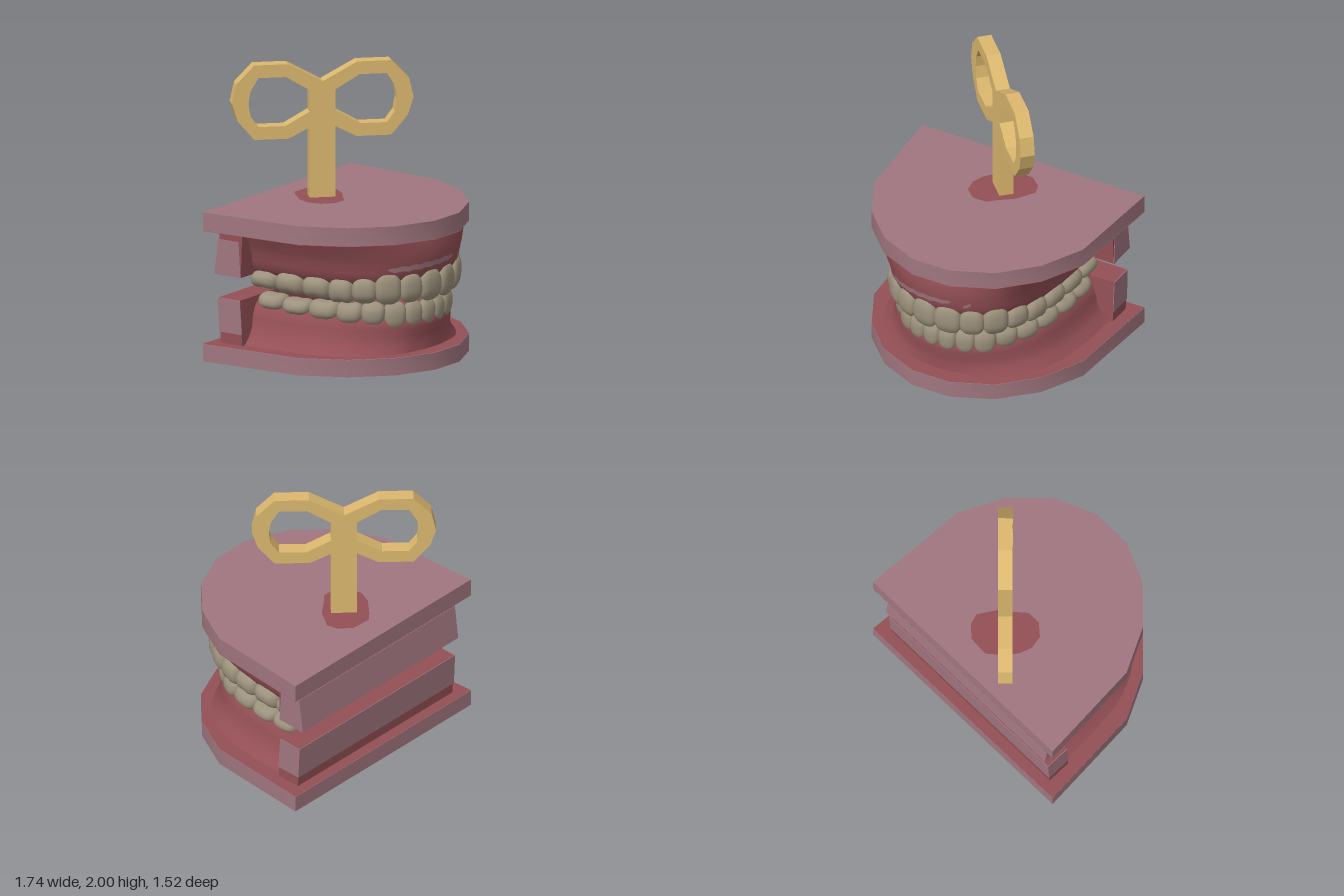
import * as THREE from 'three';
import { mergeVertices, toCreasedNormals } from 'three/addons/utils/BufferGeometryUtils.js';

const mat = (name, color, side = THREE.FrontSide) => {
  const m = new THREE.MeshStandardMaterial({ color, side });
  m.name = name;
  return m;
};

const toShape = (pts) => new THREE.Shape(pts.map(([x, y]) => new THREE.Vector2(x, y)));

// Mirrors half an outline (listed from the +x end) across x = 0
const mirrored = (half) => [...half, ...half.slice().reverse().filter(([x]) => x !== 0).map(([x, y]) => [-x, y])];

// Smooth curve around a dental arch, running from the left end over the front to the right end
const archCurve = (half) => new THREE.CatmullRomCurve3(
  mirrored(half).map(([x, z]) => new THREE.Vector3(x, 0, z)), false, 'centripetal');

function archFrame(curve, u) {
  const p = curve.getPointAt(u), t = curve.getTangentAt(u);
  return { p, n: new THREE.Vector3(t.z, 0, -t.x).normalize() };
}

// Sweeps a cross-section of [outward offset, extra flare at the sides, height] along an arch
function loft(curve, section, u0 = 0, u1 = 1, steps = 72) {
  const pos = [], index = [];
  let m = 0;
  for (let i = 0; i <= steps; i++) {
    const u = u0 + (u1 - u0) * i / steps;
    const { p, n } = archFrame(curve, u);
    const rows = section(u);
    m = rows.length;
    for (const [off, flare, y] of rows) {
      const d = off + flare * n.x * n.x;
      pos.push(p.x + n.x * d, y, p.z + n.z * d);
    }
  }
  for (let i = 0; i < steps; i++) {
    for (let j = 0; j < m - 1; j++) {
      const a = i * m + j, b = a + m;
      index.push(a, a + 1, b, b, a + 1, b + 1);
    }
  }
  const g = new THREE.BufferGeometry();
  g.setAttribute('position', new THREE.Float32BufferAttribute(pos, 3));
  g.setIndex(index);
  g.computeVertexNormals();
  return g;
}

// A tooth with its root up: squared sphere, narrowed to the root, thinned or cusped at the bite
function toothGeometry(w, h, d, molar) {
  let g = new THREE.SphereGeometry(1, 20, 14);
  g.deleteAttribute('uv');
  g.deleteAttribute('normal');
  g = mergeVertices(g, 1e-4);
  const p = g.attributes.position;
  const sq = (v, e) => Math.sign(v) * Math.abs(v) ** e;
  for (let i = 0; i < p.count; i++) {
    let x = sq(p.getX(i), 0.72), y = sq(p.getY(i), 0.8), z = sq(p.getZ(i), 0.8);
    const root = Math.max(0, y), bite = Math.max(0, -y);
    x *= 1 - 0.22 * root * root;
    z *= molar ? 1 - 0.15 * bite : 1 - 0.5 * bite * bite;
    if (!molar) z += 0.15 * bite;
    if (molar) y += bite * 0.3 * (0.5 - Math.abs(x)) - root * 0.15 * (0.6 - Math.abs(x));
    p.setXYZ(i, x * w / 2, y * h / 2, z * d / 2);
  }
  g.computeVertexNormals();
  return g;
}

export function createModel() {
  const model = new THREE.Group();
  const mauve = mat('mauve base', 0xa0767f);
  const red = mat('gum red', 0x934f55, THREE.DoubleSide);
  const ivory = mat('tooth ivory', 0x9c917c);
  const gold = mat('key gold', 0xdcb86e);
  const sheen = mat('pale gum patch', 0xa0757c, THREE.DoubleSide);

  const add = (name, geo, material, parent = model) => {
    const m = new THREE.Mesh(geo, material);
    m.name = name;
    parent.add(m);
    return m;
  };

  // Flat base plates with a red inner face; shape y is -z
  const outline = toShape(mirrored([
    [0.87, 0.675], [0.82, -0.09], [0.665, -0.4], [0.435, -0.63], [0.145, -0.757]]).reverse());
  const plate = (name, y0, y1, innerY) => {
    const g = new THREE.ExtrudeGeometry(outline, { depth: y1 - y0, bevelEnabled: false });
    add(name, toCreasedNormals(g.rotateX(-Math.PI / 2), 0.7), mauve).position.y = y0;
    const inner = add(name + 'InnerFace', new THREE.ShapeGeometry(outline), red);
    inner.rotation.x = -Math.PI / 2;
    inner.position.y = innerY;
  };
  plate('lowerPlate', 0, 0.12, 0.123);
  plate('upperPlate', 0.92, 1.05, 0.917);

  // Red spot around the key
  const spot = toShape([[-0.04, 0.5], [-0.1, 0.45], [-0.2, 0.34], [-0.235, 0.25], [-0.22, 0.15],
    [-0.14, 0.08], [-0.04, 0.08], [0.04, 0.15], [0.12, 0.21], [0.205, 0.34], [0.18, 0.42], [0.1, 0.49]]);
  const spotMesh = add('keySpot', new THREE.ShapeGeometry(spot), red);
  spotMesh.rotation.x = -Math.PI / 2;
  spotMesh.position.y = 1.054;

  // Back blocks: profiles of [z, y] extruded along x
  const bar = (name, profile, x0, x1, material) => {
    const g = new THREE.ExtrudeGeometry(toShape(profile.map(([z, y]) => [-z, y])),
      { depth: x1 - x0, bevelEnabled: false });
    add(name, g.rotateY(Math.PI / 2), material).position.x = x0;
  };
  const backBlock = (name, core, panel) => {
    bar(name, core, -0.766, 0.766, red);
    bar(name + 'LeftPanel', panel, 0.766, 0.771, mauve);
    bar(name + 'RightPanel', panel, -0.771, -0.766, mauve);
    const [, b, c] = panel;
    bar(name + 'BackPanel', [b, c, [c[0] - 0.005, c[1]], [b[0] - 0.005, b[1]]], -0.771, 0.771, mauve);
  };
  backBlock('upperBackBlock',
    [[-0.43, 0.6], [-0.645, 0.6], [-0.604, 0.92], [-0.42, 0.92]],
    [[-0.43, 0.6], [-0.645, 0.6], [-0.613, 0.85], [-0.447, 0.85]]);
  backBlock('lowerBackBlock',
    [[-0.42, 0.12], [-0.6, 0.12], [-0.615, 0.44], [-0.436, 0.44]],
    [[-0.42, 0.2], [-0.604, 0.2], [-0.615, 0.44], [-0.436, 0.44]]);

  // Gums
  const upperArch = archCurve([[0.64, -0.47], [0.64, -0.2], [0.625, 0], [0.59, 0.2], [0.53, 0.38],
    [0.42, 0.55], [0.27, 0.655], [0.1, 0.705], [0, 0.712]]);
  const lowerArch = archCurve([[0.62, -0.45], [0.62, -0.2], [0.6, 0], [0.56, 0.2], [0.49, 0.36],
    [0.38, 0.5], [0.25, 0.6], [0.12, 0.645], [0, 0.66]]);
  add('upperGum', loft(upperArch, () => [[-0.005, 0.1, 0.92], [0.008, 0.05, 0.86], [0.01, 0.02, 0.8],
    [0.005, 0, 0.75], [-0.003, 0, 0.7], [-0.022, 0, 0.65], [-0.05, 0, 0.61], [-0.11, 0, 0.6],
    [-0.17, 0, 0.63], [-0.21, 0, 0.72], [-0.25, 0, 0.92]]), red);
  add('lowerGum', loft(lowerArch, () => [[-0.012, 0.13, 0.12], [-0.016, 0.075, 0.17], [-0.015, 0.035, 0.23],
    [0, 0.01, 0.29], [-0.005, 0, 0.33], [-0.024, 0, 0.37], [-0.055, 0, 0.4], [-0.11, 0, 0.41],
    [-0.17, 0, 0.37], [-0.21, 0, 0.28], [-0.25, 0, 0.12]]), red);

  // Pale patches on the front of the upper gum
  const patch = (name, u0, u1, thick) => add(name, loft(upperArch, (u) => {
    const k = (u - u0) / (u1 - u0);
    const y = 0.748 - 0.025 * k + 0.004 * Math.sin(k * 40);
    const half = thick * Math.sqrt(Math.max(0, 1 - (2 * k - 1) ** 6)) / 2;
    const off = (yy) => 0.003 + (yy - 0.74) * 0.15 + 0.007;
    return [y + half, y, y - half].map((yy) => [off(yy), 0, yy]);
  }, u0, u1, 40), sheen);
  patch('gumPatchLarge', 0.457, 0.65, 0.038);
  patch('gumPatchSmall', 0.412, 0.43, 0.03);

  // Teeth, from the middle to the back: [width, depth, lowest y, highest y]
  const upperTeeth = [[0.18, 0.11, 0.47, 0.7], [0.16, 0.11, 0.48, 0.69], [0.17, 0.13, 0.475, 0.71],
    [0.165, 0.16, 0.48, 0.67], [0.17, 0.17, 0.47, 0.655], [0.195, 0.19, 0.485, 0.655],
    [0.21, 0.2, 0.49, 0.655], [0.2, 0.19, 0.5, 0.635]];
  const lowerTeeth = [[0.125, 0.1, 0.29, 0.475], [0.13, 0.1, 0.29, 0.475], [0.15, 0.12, 0.28, 0.48],
    [0.16, 0.15, 0.31, 0.48], [0.175, 0.16, 0.32, 0.475], [0.21, 0.18, 0.335, 0.475],
    [0.205, 0.19, 0.345, 0.465], [0.2, 0.19, 0.355, 0.475]];
  const teethRow = (name, curve, list, endGap, flip) => {
    const row = new THREE.Group();
    row.name = name;
    model.add(row);
    const length = curve.getLength();
    const fit = (length / 2 - endGap) / list.reduce((sum, t) => sum + t[0], 0);
    let s = 0;
    list.forEach(([w0, d, y0, y1], i) => {
      const w = w0 * fit;
      const g = toothGeometry(w * 1.05, y1 - y0, d, i > 3);
      if (flip) g.scale(1, -1, 1).setIndex([...g.index.array].reverse());
      g.computeVertexNormals();
      for (const side of [-1, 1]) {
        const { p, n } = archFrame(curve, 0.5 - side * (s + w / 2) / length);
        const tooth = add((side > 0 ? 'left' : 'right') + 'Tooth' + (i + 1), g, ivory, row);
        tooth.position.copy(p).addScaledVector(n, 0.016 - d / 2).setY((y0 + y1) / 2);
        tooth.rotation.y = Math.atan2(n.x, n.z);
      }
      s += w;
    });
  };
  teethRow('upperTeeth', upperArch, upperTeeth, 0.01, false);
  teethRow('lowerTeeth', lowerArch, lowerTeeth, 0.04, true);

  // Wind-up key: stem and two open loops, set diagonally
  const keyShape = toShape(mirrored([[0.09, 1.04], [0.09, 1.55], [0.235, 1.475], [0.475, 1.475],
    [0.59, 1.61], [0.63, 1.735], [0.6, 1.87], [0.475, 2], [0.24, 2], [0, 1.87]]));
  const hole = [[0.09, 1.66], [0.26, 1.565], [0.445, 1.565], [0.5, 1.64], [0.515, 1.73],
    [0.5, 1.82], [0.445, 1.91], [0.255, 1.91], [0.09, 1.81]];
  for (const side of [-1, 1]) keyShape.holes.push(toShape(hole.map(([x, y]) => [side * x, y])));
  const keyGeo = new THREE.ExtrudeGeometry(keyShape, { depth: 0.1, bevelEnabled: false }).translate(0, 0, -0.05);
  const key = add('windUpKey', keyGeo, gold);
  key.position.set(-0.02, 0, -0.285);
  key.rotation.y = -Math.PI / 4;

  // Centre front to back
  model.children.forEach((c) => { c.position.z += 0.0; });
  return model;
}
